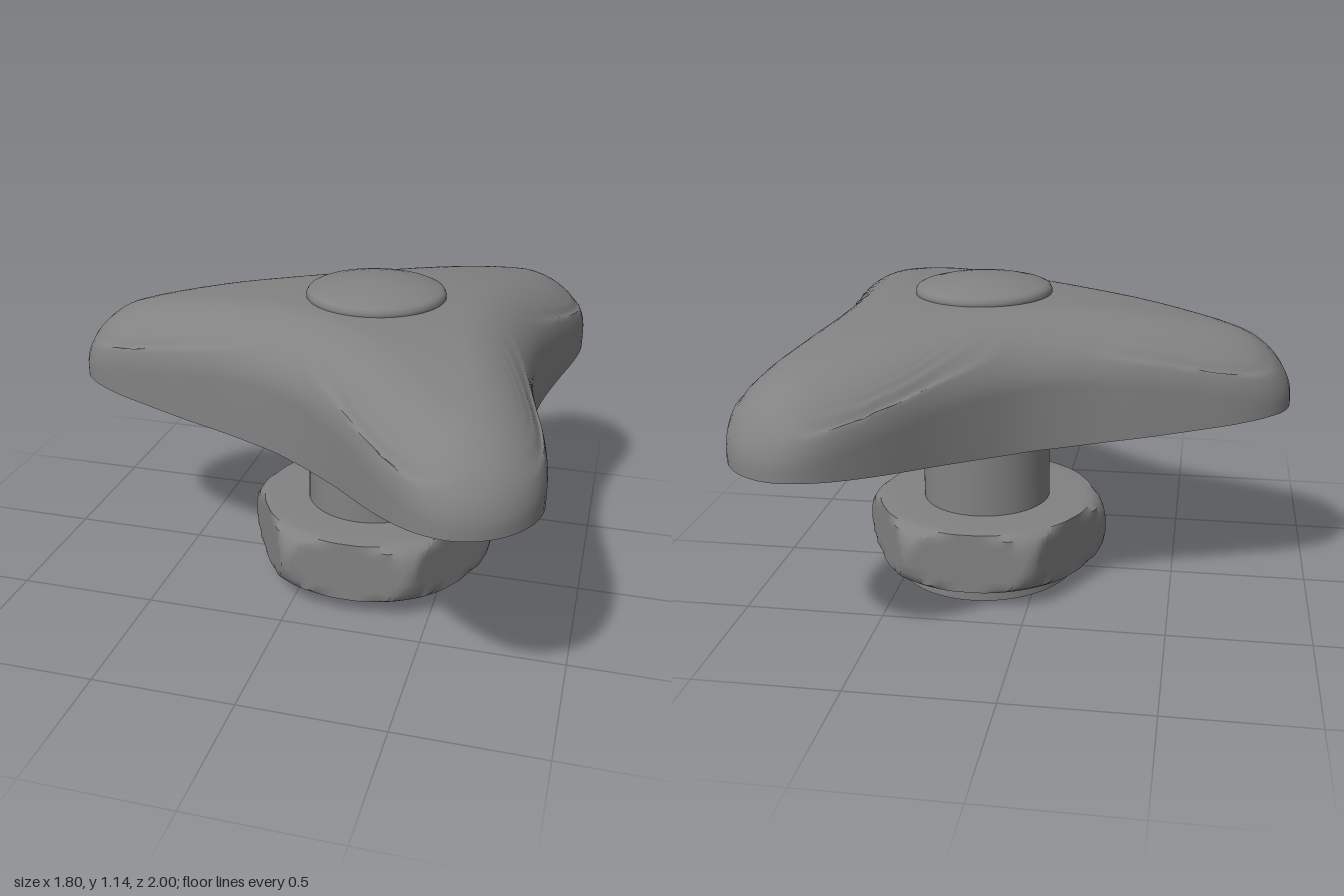
import * as THREE from 'three';
import { toCreasedNormals } from 'three/addons/utils/BufferGeometryUtils.js';

const CX = 0.21; // hub axis
const N = 144;   // samples around each loop
const material = new THREE.MeshStandardMaterial({ color: 0x828282, side: THREE.DoubleSide });

function addPart(group, name, geometry, crease = 0.6) {
  const mesh = new THREE.Mesh(toCreasedNormals(geometry, crease), material);
  mesh.name = name;
  group.add(mesh);
}

// Skin a list of closed loops, each an array of N points
function loft(rows) {
  const index = [];
  for (let r = 0; r < rows.length - 1; r++) {
    for (let i = 0; i < N; i++) {
      const k = (i + 1) % N;
      const a = r * N + i, b = (r + 1) * N + i, c = (r + 1) * N + k, d = r * N + k;
      index.push(a, b, d, b, c, d);
    }
  }
  const geometry = new THREE.BufferGeometry().setFromPoints(rows.flat());
  geometry.setIndex(index);
  geometry.computeVertexNormals();
  return geometry;
}

function lathe(points) {
  return new THREE.LatheGeometry(points.map(([r, y]) => new THREE.Vector2(r, y)), 72);
}

// Three-lobed outline in plan (x, z), mirrored across z = 0
function lobeOutline() {
  const half = [
    [-0.9, 0], [-0.89, 0.065], [-0.86, 0.125], [-0.8, 0.178], [-0.7, 0.226], [-0.6, 0.257],
    [-0.4, 0.315], [-0.2, 0.37], [0, 0.465], [0.2, 0.632], [0.4, 0.848], [0.5, 0.938],
    [0.57, 0.982], [0.65, 1], [0.74, 0.98], [0.82, 0.925], [0.88, 0.835], [0.9, 0.72],
    [0.883, 0.59], [0.84, 0.42], [0.795, 0.2], [0.782, 0],
  ];
  const back = half.slice(1, -1).reverse().map(([x, z]) => [x, -z]);
  const points = [...half, ...back].map(([x, z]) => new THREE.Vector3(x, 0, z));
  return new THREE.CatmullRomCurve3(points, true).getSpacedPoints(N).slice(0, N);
}

function insetOutline(outline, amount) {
  return outline.map((p, i) => {
    const t = outline[(i + 1) % N].clone().sub(outline[(i + N - 1) % N]).normalize();
    return new THREE.Vector3(p.x + t.z * amount, 0, p.z - t.x * amount);
  });
}

// Crowned top that rounds over towards the outline
function domeRows(outline, drop) {
  const rows = [];
  const steps = 36, radius = 0.25, height = 0.2;
  for (let j = 0; j <= steps; j++) {
    const s = Math.sin((0.08 + 0.92 * j / steps) * Math.PI / 2);
    rows.push(outline.map((p) => {
      const q = new THREE.Vector3(CX + (p.x - CX) * s, 0, p.z * s);
      let d = Infinity;
      for (const o of outline) d = Math.min(d, o.distanceTo(q));
      const u = 1 - Math.min(d / radius, 1);
      const r2 = (q.x - CX) ** 2 + q.z ** 2;
      q.y = 1.08 - 0.125 * r2 - height * (1 - Math.sqrt(1 - u * u)) - drop;
      return q;
    }));
  }
  return rows;
}

function handleShell() {
  const outer = lobeOutline();
  const inner = insetOutline(outer, 0.025);
  // The lower rim rises from the waists to the lobe tips
  const rimY = outer.map((p) => 0.632 + 0.066 *
    THREE.MathUtils.clamp((Math.hypot(p.x - CX, p.z) - 0.52) / 0.54, 0, 1));
  const rim = (line) => line.map((p, i) => new THREE.Vector3(p.x, rimY[i], p.z));
  return loft([...domeRows(outer, 0), rim(outer), rim(inner), ...domeRows(inner, 0.03).reverse()]);
}

// Hexagon with its corners cut by a rounded turning profile
function hexNut() {
  const profile = [
    [0.2, 0.29], [0.37, 0.29], [0.405, 0.287], [0.43, 0.27], [0.447, 0.24], [0.455, 0.2],
    [0.455, 0.15], [0.447, 0.11], [0.43, 0.08], [0.405, 0.063], [0.37, 0.058],
    [0.245, 0.058], [0.245, 0.14],
  ];
  return loft(profile.map(([r, y]) => Array.from({ length: N }, (_, i) => {
    const a = i / N * Math.PI * 2;
    const sector = (a % (Math.PI / 3)) - Math.PI / 6;
    const radius = Math.min(r, 0.403 / Math.cos(sector));
    return new THREE.Vector3(-Math.cos(a) * radius, y, Math.sin(a) * radius);
  })));
}

// Partial ring below the nut, at the back, with sloped ends and underside
function stopRing() {
  const shape = new THREE.Shape();
  shape.absarc(0, 0, 0.342, -0.22, Math.PI + 0.22, false);
  shape.absarc(0, 0, 0.245, Math.PI + 0.22, -0.22, true);
  const geometry = new THREE.ExtrudeGeometry(shape, { depth: 0.06, bevelEnabled: false, curveSegments: 48 });
  geometry.rotateX(-Math.PI / 2);
  const pos = geometry.attributes.position;
  for (let i = 0; i < pos.count; i++) {
    if (pos.getY(i) > 0.01) continue;
    const z = pos.getZ(i);
    pos.setY(i, 0.012 * (z + 0.342) / 0.4);
    pos.setZ(i, Math.min(z, z > 0.045 ? z - 0.025 : z));
  }
  return geometry;
}

export function createModel() {
  const model = new THREE.Group();
  model.name = 'threeLobedKnob';
  addPart(model, 'handleShell', handleShell(), 1.1);

  const hub = new THREE.Group();
  hub.name = 'hub';
  hub.position.x = CX;
  model.add(hub);

  // Domed cap with a rounded bead around it
  addPart(hub, 'topCap', lathe([
    [0.2, 1.03], [0.238, 1.055], [0.246, 1.072], [0.246, 1.084], [0.239, 1.096], [0.224, 1.103],
    [0.17, 1.117], [0.11, 1.128], [0.05, 1.134], [0, 1.136],
  ]), 0.9);

  // Hollow stem, open at the bottom, with a stepped bore
  addPart(hub, 'stem', lathe([
    [0, 0.5], [0.17, 0.5], [0.17, 0.13], [0.205, 0.13], [0.205, 0.045], [0.238, 0.045], [0.238, 1.04],
  ]));
  addPart(hub, 'stemCollar', lathe([[0.237, 0.985], [0.252, 0.985], [0.252, 1.04]]));

  addPart(hub, 'hexNut', hexNut(), 0.8);
  addPart(hub, 'stopRing', stopRing());
  return model;
}
